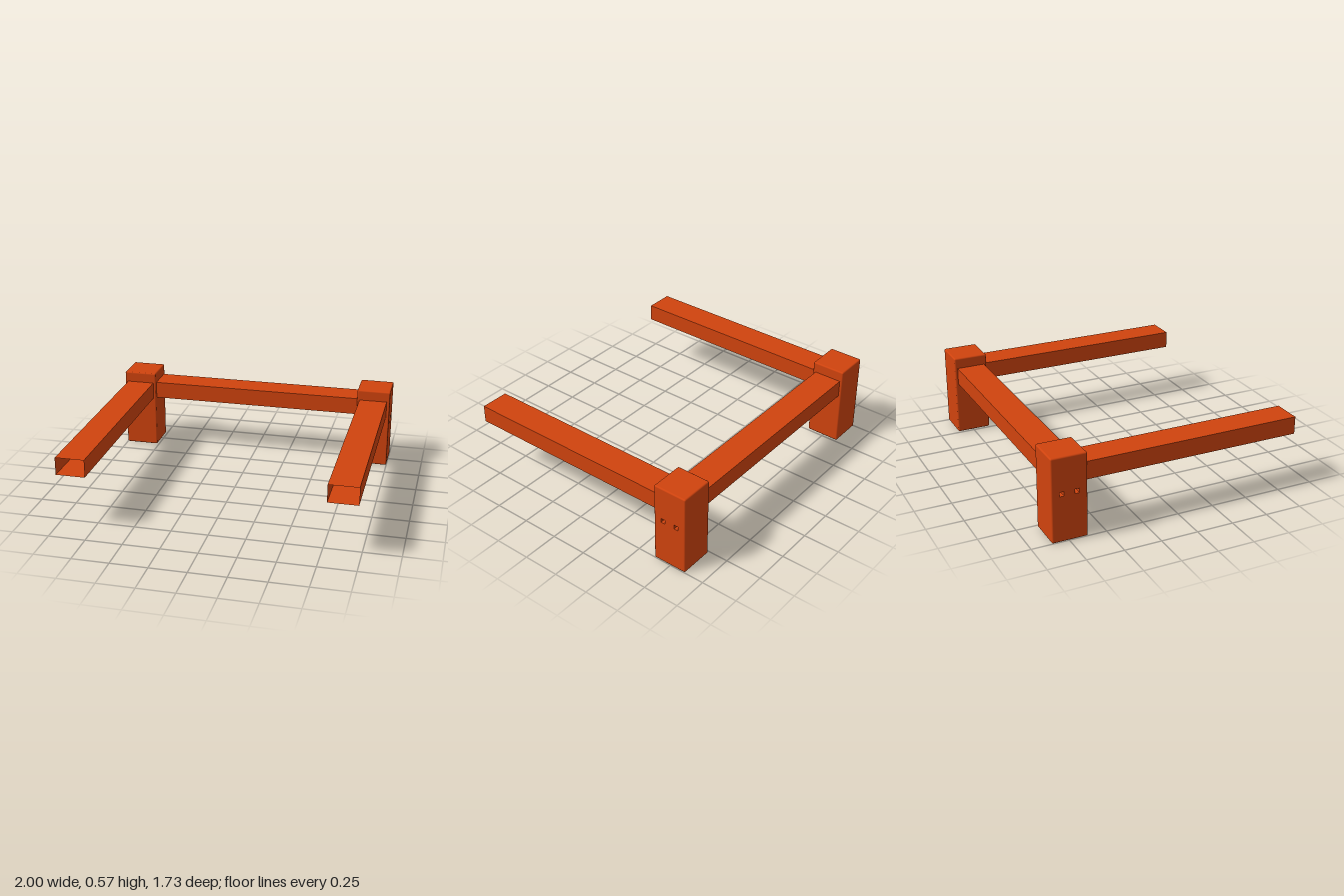
import * as THREE from 'three';
import { mergeGeometries } from 'three/addons/utils/BufferGeometryUtils.js';
import { RoundedBoxGeometry } from 'three/addons/geometries/RoundedBoxGeometry.js';

const POST = { w: 0.237, h: 0.57, d: 0.238, r: 0.01 };
const HOLE = { size: 0.03, depth: 0.05, y: 0.325 - 0.285, z: [-0.05, 0.05] };

// Thin-walled box without its +z face
function openBox(w, h, d) {
  const geo = new THREE.BoxGeometry(w, h, d);
  const index = Array.from(geo.index.array);
  index.splice(24, 6);
  geo.setIndex(index);
  geo.clearGroups();
  return geo;
}

// Softly rounded post without the flat of its +x face
function postShell() {
  const { w, h, d, r } = POST;
  const src = new RoundedBoxGeometry(w, h, d, 3, r);
  const p = src.attributes.position;
  const keep = [];
  for (let i = 0; i < p.count; i += 3) {
    const flat = [0, 1, 2].every((k) => p.getX(i + k) > w / 2 - 1e-5);
    if (!flat) keep.push(i, i + 1, i + 2);
  }
  src.setIndex(keep);
  src.clearGroups();
  return src;
}

// Outer face of the post, pierced by two square holes with blind pockets
function holedFace() {
  const { w, h, d, r } = POST;
  const a = d / 2 - r, b = h / 2 - r, s = HOLE.size / 2;
  const rect = (Type, x0, y0, x1, y1) => new Type([
    new THREE.Vector2(x0, y0), new THREE.Vector2(x1, y0),
    new THREE.Vector2(x1, y1), new THREE.Vector2(x0, y1)]);
  const face = rect(THREE.Shape, -a, -b, a, b);
  const parts = [];
  for (const c of HOLE.z) {
    face.holes.push(rect(THREE.Path, c - s, HOLE.y - s, c + s, HOLE.y + s));
    parts.push(openBox(HOLE.size, HOLE.size, HOLE.depth).translate(c, HOLE.y, -HOLE.depth / 2));
  }
  parts.push(new THREE.ShapeGeometry(face));
  return mergeGeometries(parts).rotateY(Math.PI / 2).translate(w / 2, 0, 0);
}

export function createModel() {
  const model = new THREE.Group();
  model.name = 'frame';
  const orange = new THREE.MeshStandardMaterial({ color: 0xd0430e, side: THREE.DoubleSide });
  orange.name = 'burntOrange';

  const add = (name, geo, parent) => {
    const mesh = new THREE.Mesh(geo, orange);
    mesh.name = name;
    parent.add(mesh);
    return mesh;
  };

  const shell = postShell(), face = holedFace();
  for (const side of [1, -1]) {
    const label = side > 0 ? 'left' : 'right';

    // Corner post, holes facing outward
    const post = new THREE.Group();
    post.name = label + 'Post';
    add(label + 'PostBody', shell, post);
    add(label + 'PostOuterFace', face, post);
    post.position.set(side * 0.8815, POST.h / 2, -0.744);
    post.rotation.y = side > 0 ? 0 : Math.PI;
    model.add(post);

    // Hollow arm, open at the front
    add(label + 'Arm', openBox(0.197, 0.12, 1.488), model)
      .position.set(side * 0.88, 0.436, 0.119);
  }

  // Rear rail between the posts
  add('rearRail', new THREE.BoxGeometry(1.526, 0.12, 0.197), model)
    .position.set(0, 0.436, -0.745);

  return model;
}
